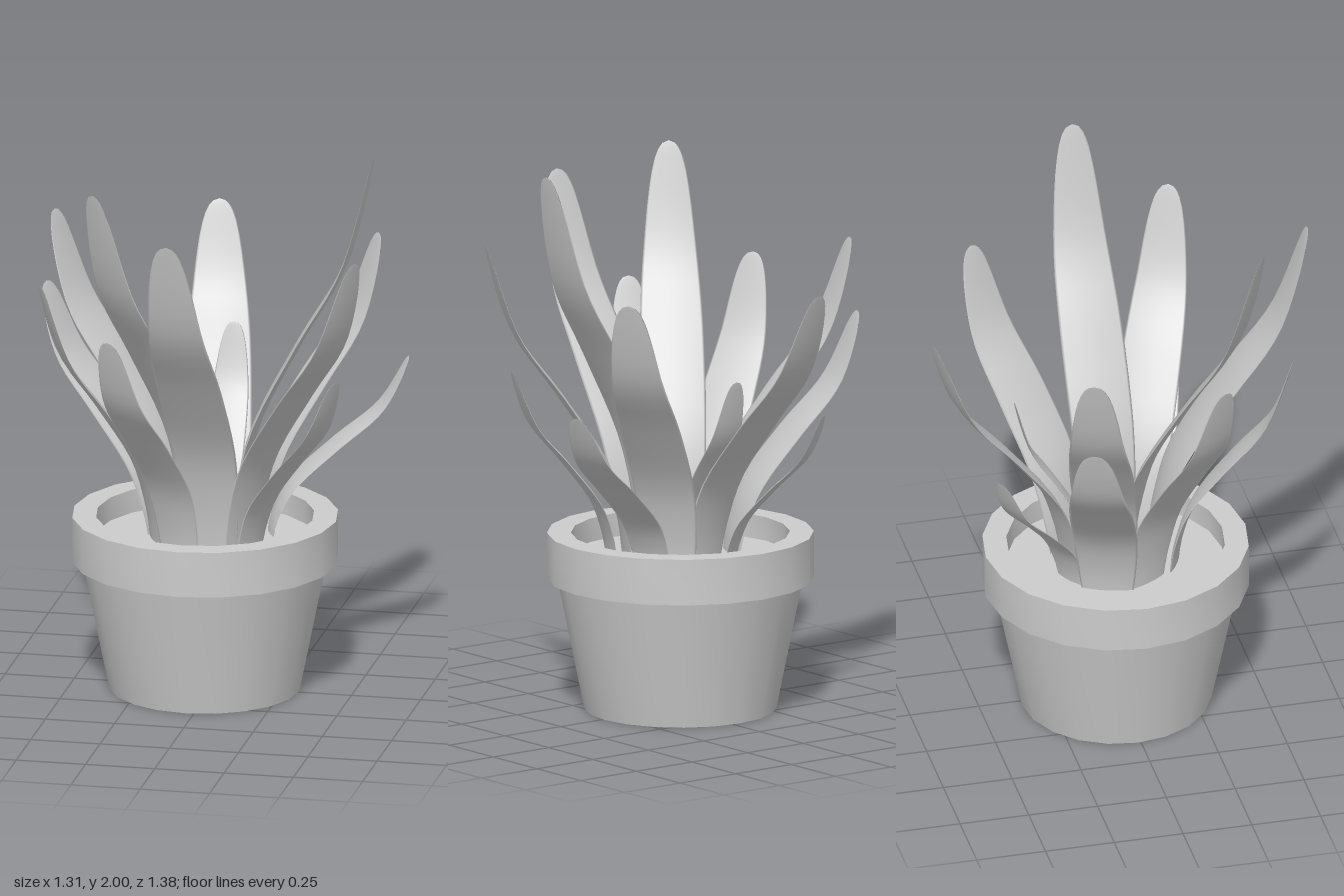
import * as THREE from 'three';
import { toCreasedNormals } from 'three/addons/utils/BufferGeometryUtils.js';

const material = new THREE.MeshStandardMaterial({ color: 0xcccccc });
const SIDES = 20, RINGS = 24, AROUND = 16, BASE_Y = 0.52;
const UP = new THREE.Vector3(0, 1, 0);

// base x, base z, tip x, tip y, tip z, width
const LEAVES = [
  [0.075, -0.01, 0.58, 2.0, -0.02, 0.23],
  [0.12, 0.1, 0.58, 1.7, 0.33, 0.22],
  [0.16, 0.14, 0.5, 1.24, 0.28, 0.19],
  [0.18, -0.12, 0.65, 1.18, -0.28, 0.17],
  [0.12, -0.145, 0.515, 1.59, -0.405, 0.23],
  [0.0, -0.09, 0.0, 1.24, -0.37, 0.15],
  [-0.01, -0.165, -0.12, 1.59, -0.69, 0.23],
  [-0.11, -0.19, -0.3, 1.1, -0.49, 0.15],
  [-0.12, -0.06, -0.62, 1.66, -0.23, 0.23],
  [-0.2, -0.08, -0.65, 1.39, -0.235, 0.23],
  [-0.19, 0.06, -0.57, 1.53, 0.26, 0.21],
  [-0.03, 0.02, -0.34, 1.93, 0.45, 0.23],
  [-0.08, 0.19, -0.26, 1.43, 0.58, 0.2],
  [0.02, 0.13, -0.025, 1.83, 0.69, 0.24],
];

// Lean (x) against height (y), both from 0 to 1: steep, leaning, steep again
const LEAN = new THREE.SplineCurve(
  [[0, 0], [0.04, 0.14], [0.17, 0.32], [0.48, 0.53], [0.8, 0.73], [1, 1]].map(([x, y]) => new THREE.Vector2(x, y)));

function widthAt(t) {
  if (t < 0.5) return 0.75 + 0.25 * Math.sin((t / 0.5) * Math.PI / 2);
  return Math.sqrt(1 - ((t - 0.5) / 0.5) ** 2.3);
}

// Thin blade with sharp edges, swept along the S-shaped lean
function leafGeometry([bx, bz, tx, ty, tz, width]) {
  const run = new THREE.Vector3(tx - bx, 0, tz - bz);
  const side = new THREE.Vector3().crossVectors(UP, run).normalize();
  const positions = [], index = [];
  for (let i = 0; i <= RINGS; i++) {
    const t = 1 - (1 - i / RINGS) ** 1.5; // finer rings near the tip
    const lean = LEAN.getPoint(t), slope = LEAN.getTangent(t);
    const centre = new THREE.Vector3(bx, BASE_Y + (ty - BASE_Y) * lean.y, bz).addScaledVector(run, lean.x);
    const tangent = run.clone().multiplyScalar(slope.x).addScaledVector(UP, slope.y * (ty - BASE_Y)).normalize();
    const normal = new THREE.Vector3().crossVectors(tangent, side);
    const w = widthAt(t) * width / 2, thickness = w * (0.14 - 0.09 * t);
    for (let j = 0; j < AROUND; j++) {
      const a = (j / AROUND) * Math.PI * 2, s = Math.sin(a);
      const p = centre.clone().addScaledVector(side, Math.cos(a) * w)
        .addScaledVector(normal, s * Math.abs(s) * thickness);
      positions.push(p.x, p.y, p.z);
      if (i < RINGS) {
        const k = i * AROUND + j, n = i * AROUND + (j + 1) % AROUND;
        index.push(k, n, k + AROUND, n, n + AROUND, k + AROUND);
      }
    }
  }
  const geometry = new THREE.BufferGeometry();
  geometry.setAttribute('position', new THREE.Float32BufferAttribute(positions, 3));
  geometry.setIndex(index);
  geometry.computeVertexNormals();
  return geometry;
}

function turned(name, profile) {
  const points = profile.map(([r, y]) => new THREE.Vector2(r, y));
  const mesh = new THREE.Mesh(toCreasedNormals(new THREE.LatheGeometry(points, SIDES), 0.6), material);
  mesh.name = name;
  return mesh;
}

export function createModel() {
  const model = new THREE.Group();
  model.name = 'pottedPlant';

  // Tapered pot with a heavy rim, filled with soil
  const pot = new THREE.Group();
  pot.name = 'pot';
  pot.position.set(-0.03, 0, -0.01);
  pot.add(
    turned('potBody', [[0, 0], [0.34, 0], [0.437, 0.48]]),
    turned('potRim', [[0.42, 0.47], [0.472, 0.47], [0.472, 0.635], [0.387, 0.635], [0.387, 0.55]]),
    turned('soil', [[0.387, 0.55], [0, 0.55]]),
  );
  model.add(pot);

  // Rosette of leaves
  const leaves = new THREE.Group();
  leaves.name = 'leaves';
  for (const spec of LEAVES) {
    const leaf = new THREE.Mesh(leafGeometry(spec), material);
    leaf.name = 'leaf';
    leaves.add(leaf);
  }
  model.add(leaves);
  return model;
}
